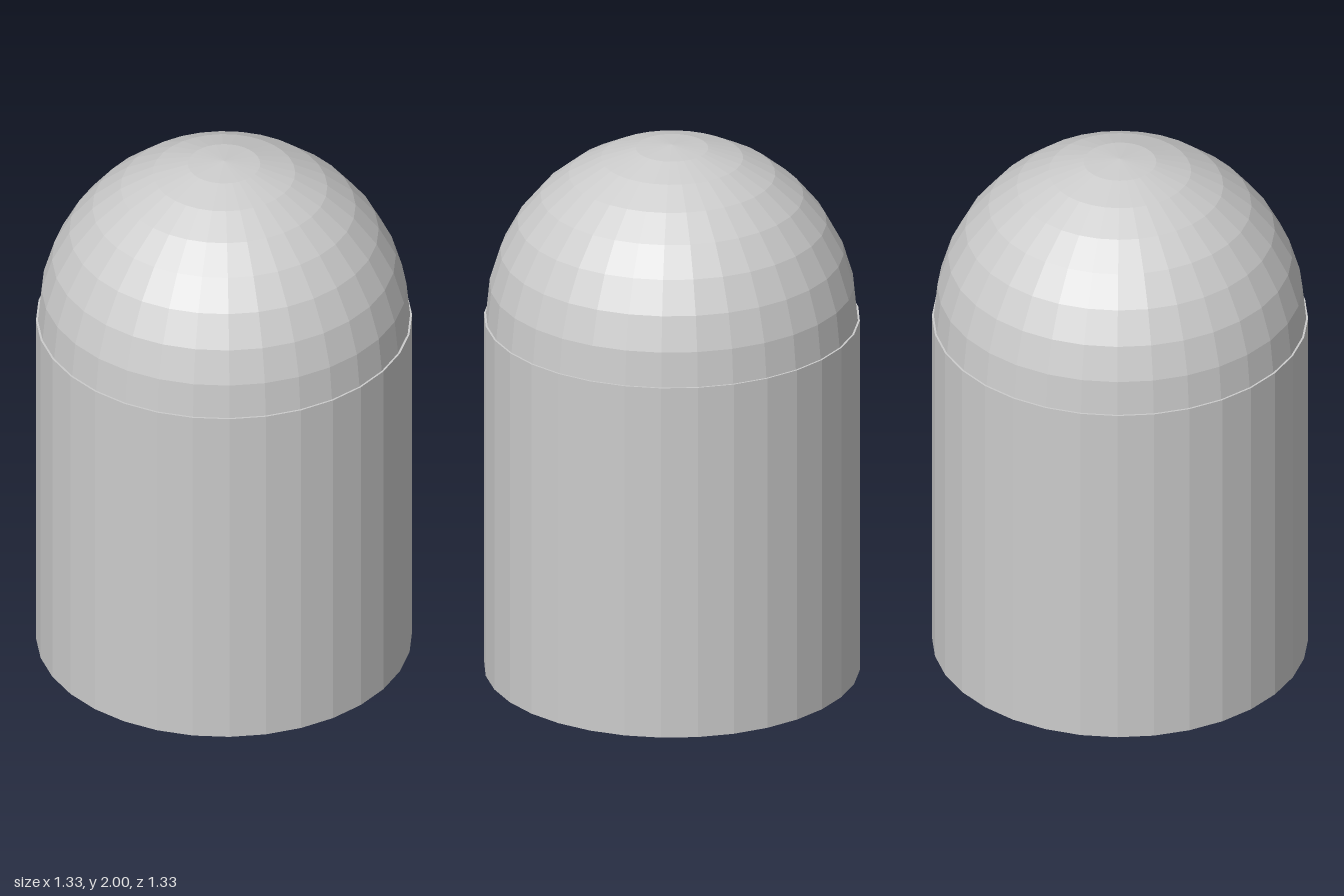
import * as THREE from 'three';

const SIDES = 32;
const BODY_RADIUS = 0.667, BODY_TOP = 1.34;
const DOME_RADIUS = 0.66;
const BORE_RADIUS = 0.603, BORE_DEPTH = 0.3;

export function createModel() {
  const model = new THREE.Group();
  const material = new THREE.MeshStandardMaterial({ color: 0xcccccc, flatShading: true });

  // Cylindrical body with a shallow round recess in its underside
  const profile = [
    [0, BORE_DEPTH], [BORE_RADIUS, BORE_DEPTH], [BORE_RADIUS, 0],
    [BODY_RADIUS, 0], [BODY_RADIUS, BODY_TOP], [0, BODY_TOP],
  ].map(([x, y]) => new THREE.Vector2(x, y));
  const body = new THREE.Mesh(new THREE.LatheGeometry(profile, SIDES), material);
  body.name = 'body';

  // Faceted half-sphere cap, set in slightly from the body's edge
  const dome = new THREE.Mesh(
    new THREE.SphereGeometry(DOME_RADIUS, SIDES, 8, 0, Math.PI * 2, 0, Math.PI / 2),
    material,
  );
  dome.name = 'dome';
  dome.position.y = BODY_TOP;

  model.add(body, dome);
  return model;
}
